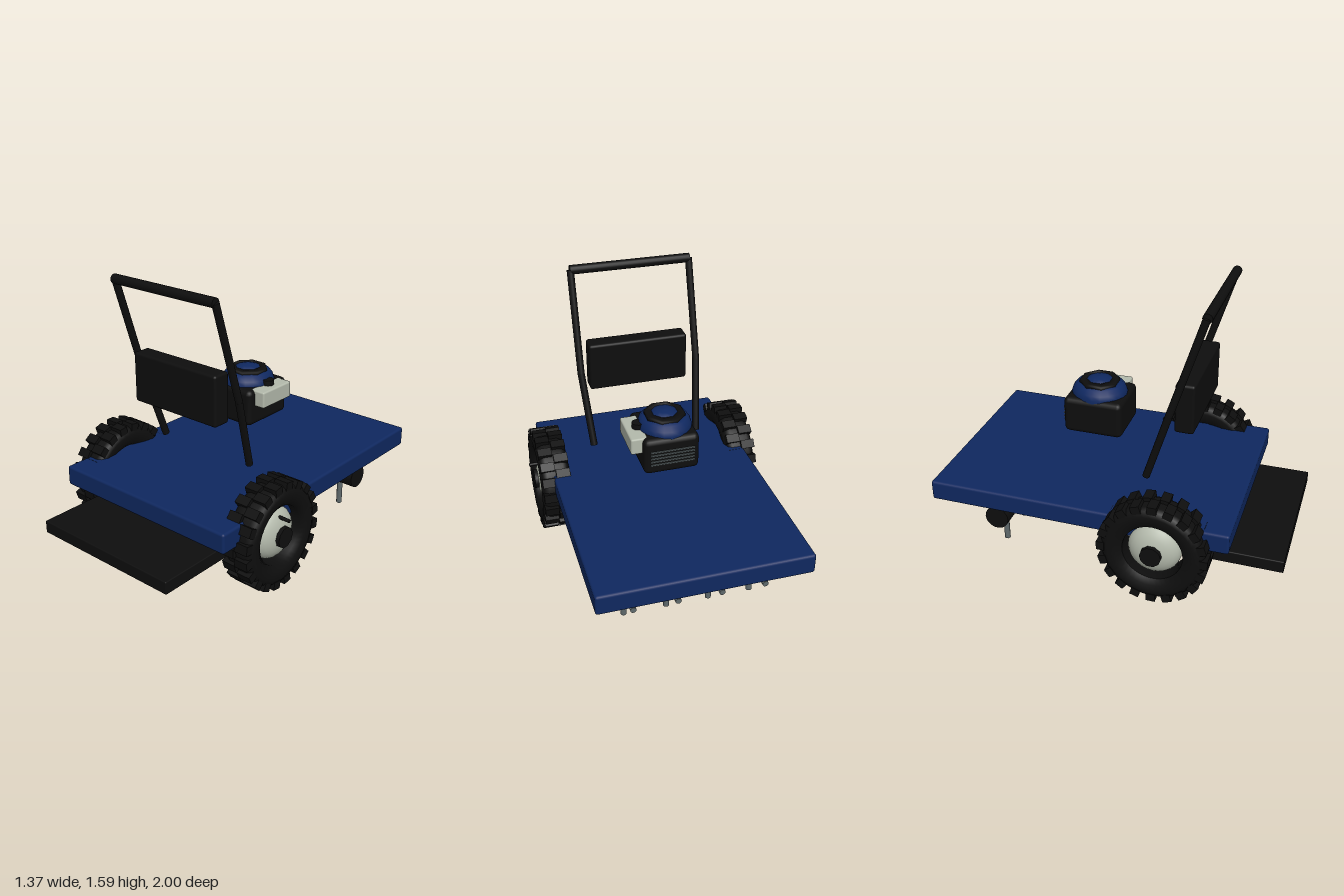
import * as THREE from 'three';
import { RoundedBoxGeometry } from 'three/addons/geometries/RoundedBoxGeometry.js';

const paint = (name, color) => Object.assign(new THREE.MeshStandardMaterial({ color }), { name });

export function createModel() {
  const model = new THREE.Group();
  model.name = 'aerator';
  const blue = paint('deck blue', 0x0f2860);
  const black = paint('matte black', 0x0e0e0e);
  const silver = paint('pale silver', 0xb4baac);
  const steel = paint('tine steel', 0x5f696b);
  const CX = -0.013; // symmetry plane of the chassis

  const add = (parent, name, geo, mat, x = 0, y = 0, z = 0) => {
    const mesh = new THREE.Mesh(geo, mat);
    mesh.name = name;
    mesh.position.set(x, y, z);
    parent.add(mesh);
    return mesh;
  };
  // rounded box from its extents
  const block = (name, mat, [x0, x1], [y0, y1], [z0, z1], r = 0.012) =>
    add(model, name, new RoundedBoxGeometry(x1 - x0, y1 - y0, z1 - z0, 2, r), mat,
      (x0 + x1) / 2, (y0 + y1) / 2, (z0 + z1) / 2);
  // cylinder between two points
  const rod = (parent, name, mat, a, b, r, sides = 12) => {
    const p = new THREE.Vector3(...a), q = new THREE.Vector3(...b);
    const d = q.clone().sub(p);
    const mesh = add(parent, name, new THREE.CylinderGeometry(r, r, d.length(), sides), mat);
    mesh.position.copy(p).add(q).multiplyScalar(0.5);
    mesh.quaternion.setFromUnitVectors(new THREE.Vector3(0, 1, 0), d.normalize());
    return mesh;
  };
  const lathe = (pts, n) => new THREE.LatheGeometry(pts.map(p => new THREE.Vector2(...p)), n);

  // Deck, front plate and control panel
  block('deck', blue, [-0.603, 0.577], [0.358, 0.475], [-1, 0.722], 0.014);
  block('frontPlate', black, [-0.478, 0.445], [0.212, 0.285], [0.48, 1], 0.006);
  block('controlPanel', black, [-0.31, 0.282], [0.87, 1.158], [0.335, 0.443], 0.015);

  // Handle: two bent arms and a crossbar
  for (const s of [-1, 1]) {
    const foot = [CX + s * 0.318, 0.58, 0.19];
    const bend = [CX + s * 0.352, 1.0, 0.322];
    const top = [CX + s * 0.352, 1.57, 0.502];
    rod(model, 'handleLowerArm', black, foot, bend, 0.021);
    rod(model, 'handleUpperArm', black, bend, top, 0.021);
    add(model, 'handleBend', new THREE.SphereGeometry(0.021, 12, 8), black, ...bend);
  }
  rod(model, 'handleCrossbar', black, [CX - 0.356, 1.57, 0.504], [CX + 0.356, 1.57, 0.504], 0.027, 16);

  // Wheels
  const tyreGeo = lathe([
    [0.168, -0.06], [0.2, -0.083], [0.245, -0.09], [0.275, -0.075], [0.288, -0.05],
    [0.288, 0.05], [0.275, 0.075], [0.245, 0.09], [0.2, 0.083], [0.168, 0.06], [0.168, -0.06],
  ], 40).rotateZ(-Math.PI / 2);
  const hubPts = [];
  for (let i = 0; i <= 14; i++) {
    const a = -Math.PI / 2 + (i / 14) * Math.PI;
    hubPts.push([Math.max(0, 0.15 * Math.cos(a)), 0.085 * Math.sin(a)]);
  }
  const hubGeo = lathe(hubPts, 28).rotateZ(-Math.PI / 2);
  const lugGeo = new THREE.BoxGeometry(0.082, 0.045, 0.052);
  const LUGS = 20;
  for (const s of [-1, 1]) {
    const wheel = new THREE.Group();
    wheel.name = s > 0 ? 'leftWheel' : 'rightWheel';
    wheel.position.set(CX + s * 0.576, 0.313, 0.32);
    add(wheel, 'tyre', tyreGeo, black);
    add(wheel, 'hub', hubGeo, silver);
    rod(wheel, 'axleCap', black, [-0.1, 0, 0], [0.1, 0, 0], 0.06, 10);
    rod(wheel, 'valve', black, [0.03, 0.107, 0], [0.122, 0.107, 0], 0.01, 8);
    // two staggered rows of tread lugs
    for (const side of [-1, 1]) {
      for (let i = 0; i < LUGS; i++) {
        const a = ((i + (side > 0 ? 0.5 : 0)) / LUGS) * Math.PI * 2;
        const lug = add(wheel, 'treadLug', lugGeo, black,
          side * 0.043, 0.285 * Math.cos(a), 0.285 * Math.sin(a));
        lug.rotation.x = a;
      }
    }
    model.add(wheel);
  }

  // Tine shaft with four crosses of tines
  const SY = 0.23, SZ = -0.657;
  rod(model, 'tineShaft', black, [-0.503, SY, SZ], [0.477, SY, SZ], 0.07, 24);
  for (let i = 0; i < 4; i++) {
    const x = -0.383 + i * 0.245;
    rod(model, 'verticalTine', steel, [x, SY - 0.222, SZ], [x, SY + 0.222, SZ], 0.017);
    rod(model, 'levelTine', steel, [x, SY, SZ - 0.222], [x, SY, SZ + 0.222], 0.017);
  }

  // Engine block, muffler and rear vents
  const EX = -0.017, EZ = -0.183;
  block('engineBlock', black, [-0.172, 0.142], [0.682, 0.897], [-0.352, -0.008], 0.03);
  block('muffler', silver, [0.06, 0.205], [0.8, 0.896], [-0.308, -0.055], 0.01);
  add(model, 'mufflerKnob', new THREE.CylinderGeometry(0.034, 0.034, 0.04, 10), black, 0.135, 0.907, EZ);
  for (let i = 0; i < 5; i++) {
    add(model, 'ventSlat', new THREE.BoxGeometry(0.25, 0.008, 0.009), steel, EX, 0.745 + i * 0.02, -0.355);
  }

  // Starter dome with a black collar and a blue cap
  const dome = add(model, 'starterDome', lathe([
    [0.152, 0.87], [0.152, 0.9], [0.144, 0.925], [0.125, 0.95], [0.09, 0.962], [0, 0.965],
  ], 20), blue, EX, 0, EZ);
  dome.scale.z = 1.06;
  add(model, 'starterCollar', lathe([
    [0.074, 0.95], [0.116, 0.95], [0.116, 0.968], [0.105, 0.974], [0.074, 0.974], [0.074, 0.95],
  ], 8), black, EX, 0, EZ).rotation.y = Math.PI / 8;
  add(model, 'starterCap', lathe([[0.078, 0.955], [0.076, 0.971], [0.04, 0.983], [0, 0.987]], 12),
    blue, EX, 0, EZ);

  return model;
}
